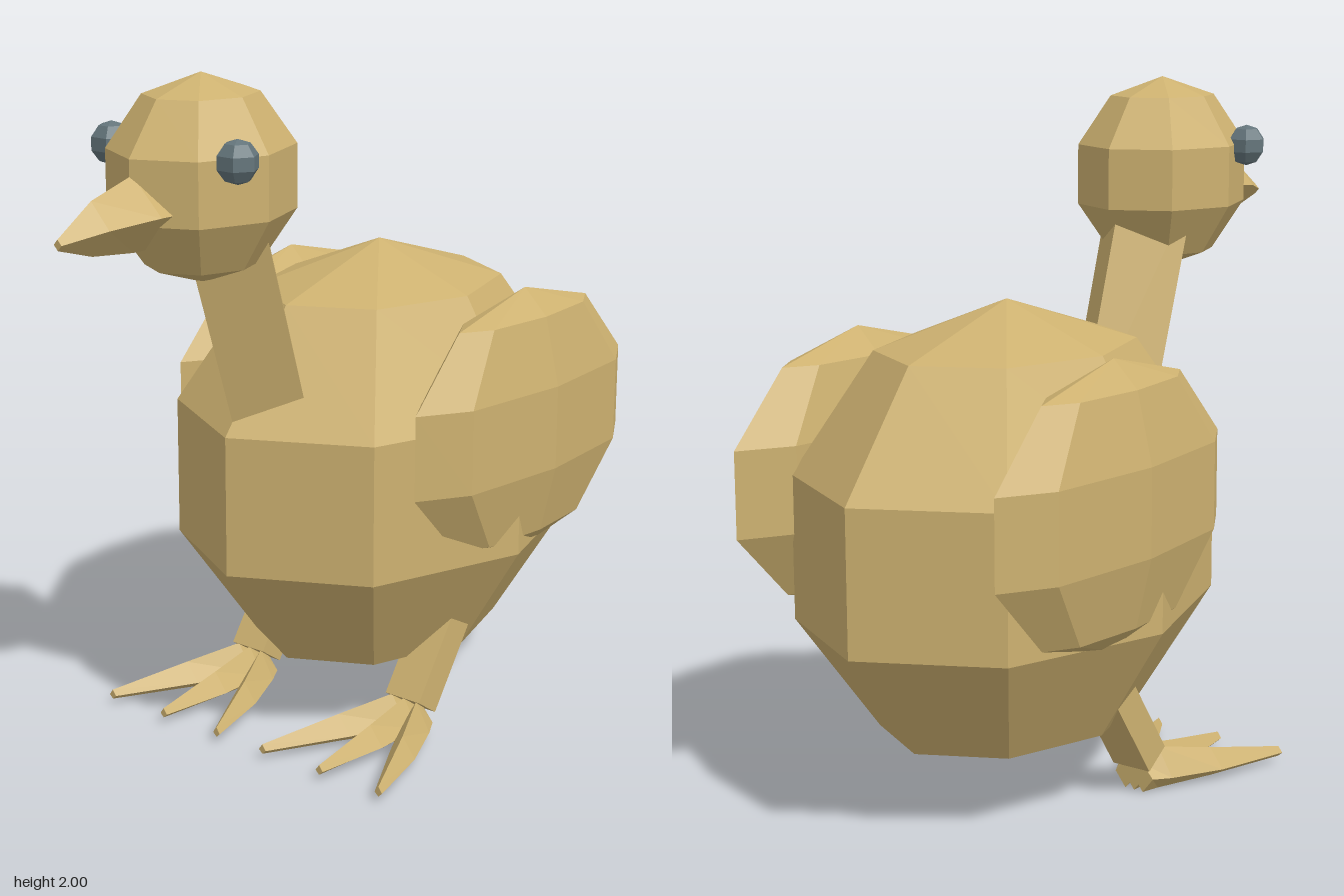
import * as THREE from 'three';

const tan = new THREE.MeshStandardMaterial({ color: 0xcdb170, flatShading: true });
const slate = new THREE.MeshStandardMaterial({ color: 0x64757b, flatShading: true });

// Faceted ellipsoid
function ellipsoid(name, [x, y, z], [rx, ry, rz], material = tan, sides = 8) {
  const mesh = new THREE.Mesh(new THREE.SphereGeometry(1, sides, 5).scale(rx, ry, rz), material);
  mesh.position.set(x, y, z);
  mesh.name = name;
  return mesh;
}

// Diamond-section loft running towards +z; each section is [x, z, halfWidth, top, middle, bottom]
function diamondLoft(name, sections) {
  const points = [], faces = [];
  for (const [x, z, w, top, mid, bottom] of sections) {
    points.push(x + w, mid, z, x, top, z, x - w, mid, z, x, bottom, z);
  }
  for (let s = 0; s < sections.length - 1; s++) {
    for (let i = 0; i < 4; i++) {
      const a = s * 4 + i, b = s * 4 + (i + 1) % 4;
      faces.push(a, b + 4, b, a, a + 4, b + 4);
    }
  }
  const e = points.length / 3 - 4;
  faces.push(0, 1, 2, 0, 2, 3, e, e + 2, e + 1, e, e + 3, e + 2);
  // Sections advance in +z with corners counter-clockwise, so reverse for outward faces
  for (let i = 0; i < faces.length; i += 3) {
    const isCap = i >= faces.length - 12;
    if (!isCap) [faces[i + 1], faces[i + 2]] = [faces[i + 2], faces[i + 1]];
    else if (i < faces.length - 6) [faces[i + 1], faces[i + 2]] = [faces[i + 2], faces[i + 1]];
    else [faces[i + 1], faces[i + 2]] = [faces[i + 2], faces[i + 1]];
  }
  const geometry = new THREE.BufferGeometry();
  geometry.setAttribute('position', new THREE.Float32BufferAttribute(points, 3));
  geometry.setIndex(faces);
  geometry.computeVertexNormals();
  const mesh = new THREE.Mesh(geometry, tan);
  mesh.name = name;
  return mesh;
}

// Places a y-aligned mesh between two points
function between(mesh, from, to) {
  mesh.position.copy(from).add(to).multiplyScalar(0.5);
  mesh.quaternion.setFromUnitVectors(new THREE.Vector3(0, 1, 0), to.clone().sub(from).normalize());
  return mesh;
}

export function createModel() {
  const model = new THREE.Group();
  model.name = 'bird';

  model.add(ellipsoid('body', [0, 0.763, -0.307], [0.555, 0.665, 0.718]));
  model.add(ellipsoid('head', [0, 1.715, 0.455], [0.25, 0.285, 0.29]));

  // Four-sided neck leaning forward
  const low = new THREE.Vector3(0, 0.9, 0.155), high = new THREE.Vector3(0, 1.7, 0.41);
  const neck = new THREE.Mesh(
    new THREE.CylinderGeometry(0.153, 0.147, low.distanceTo(high), 4), tan);
  neck.name = 'neck';
  model.add(between(neck, low, high));

  model.add(diamondLoft('beak', [
    [0, 0.62, 0.108, 1.775, 1.66, 1.555],
    [0, 0.72, 0.104, 1.76, 1.66, 1.555],
    [0, 0.87, 0.065, 1.715, 1.645, 1.57],
    [0, 0.99, 0.014, 1.635, 1.62, 1.605],
  ]));

  for (const [side, s] of [['left', 1], ['right', -1]]) {
    model.add(ellipsoid(side + 'Eye', [s * 0.228, 1.8, 0.565], [0.06, 0.06, 0.06], slate, 6));
    model.add(ellipsoid(side + 'Wing', [s * 0.445, 0.925, -0.425], [0.131, 0.4, 0.536]));

    // Box leg sloping back up into the body
    const ankle = new THREE.Vector3(s * 0.305, 0.1, -0.09);
    const hip = new THREE.Vector3(s * 0.305, 0.4, -0.295);
    const leg = new THREE.Mesh(new THREE.BoxGeometry(0.125, ankle.distanceTo(hip), 0.095), tan);
    leg.name = side + 'Leg';
    model.add(between(leg, ankle, hip));

    // Three toes fanning forward
    const foot = new THREE.Group();
    foot.name = side + 'Foot';
    for (const fan of [-1, 0, 1]) {
      foot.add(diamondLoft('toe', [
        [fan * 0.03, -0.115, 0.035, 0.085, 0.045, 0],
        [fan * 0.045, -0.06, 0.05, 0.125, 0.04, 0],
        [fan * 0.12, 0.1, 0.045, 0.092, 0.033, 0.006],
        [fan * 0.215, 0.33, 0.013, 0.048, 0.03, 0.018],
      ]));
    }
    foot.position.x = s * 0.305;
    model.add(foot);
  }
  return model;
}
